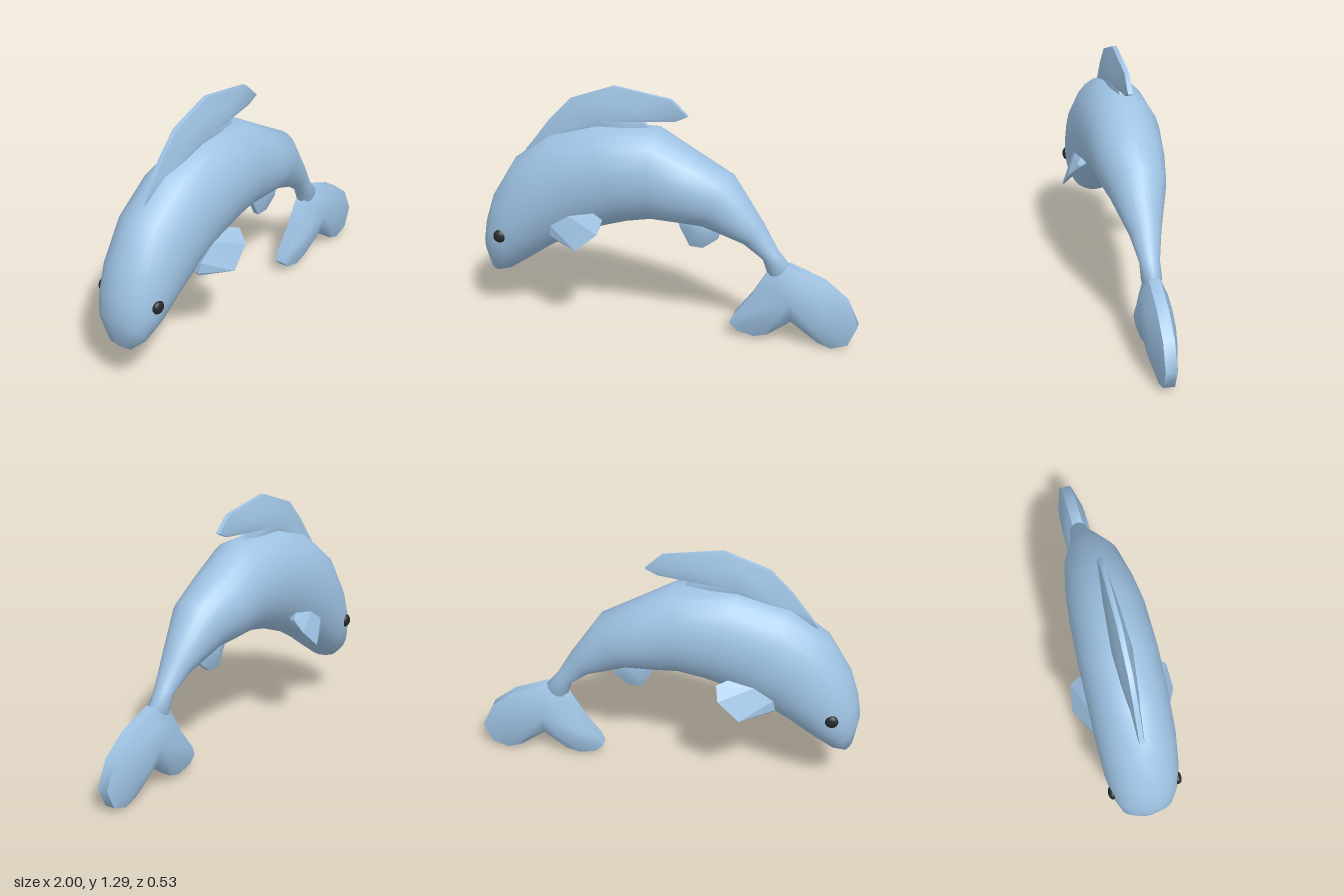
import * as THREE from 'three';
import { toCreasedNormals } from 'three/addons/utils/BufferGeometryUtils.js';
import { ConvexGeometry } from 'three/addons/geometries/ConvexGeometry.js';

const skin = new THREE.MeshStandardMaterial({ color: 0x9fc3e4 });
const dark = new THREE.MeshStandardMaterial({ color: 0x25292b });

// Joins equal-sized closed rings of [x, y, z] points into one surface.
function loft(rings, crease) {
  const n = rings[0].length;
  const index = [];
  for (let i = 0; i < rings.length - 1; i++) {
    for (let j = 0; j < n; j++) {
      const k = (j + 1) % n;
      const a = i * n + j, b = (i + 1) * n + j, c = (i + 1) * n + k, d = i * n + k;
      index.push(a, b, c, a, c, d);
    }
  }
  const geo = new THREE.BufferGeometry();
  geo.setAttribute('position', new THREE.Float32BufferAttribute(rings.flat(2), 3));
  geo.setIndex(index);
  return toCreasedNormals(geo, crease);
}

// Puffy upright fin: thick in the middle, thin flat rim; outline runs counter-clockwise.
function fin(outline, [cx, cy], middle, inner, rim) {
  const ring = (s, z) => outline.map(([x, y]) => [cx + (x - cx) * s, cy + (y - cy) * s, z]);
  return loft([
    ring(0, middle), ring(0.55, inner), ring(1, rim),
    ring(1, -rim), ring(0.55, -inner), ring(0, -middle),
  ], 0.9);
}

// Body cross-sections: back point, belly point, half width.
const sections = [
  [-0.958, 0.25, -0.945, 0.24, 0],
  [-0.978, 0.28, -0.925, 0.225, 0.06],
  [-1.0, 0.43, -0.86, 0.245, 0.13],
  [-0.985, 0.53, -0.75, 0.32, 0.166],
  [-0.94, 0.67, -0.62, 0.41, 0.187],
  [-0.82, 0.87, -0.46, 0.5, 0.198],
  [-0.62, 1.02, -0.32, 0.555, 0.2],
  [-0.36, 1.1, -0.2, 0.592, 0.2],
  [-0.05, 1.1, -0.08, 0.616, 0.192],
  [0.15, 0.985, 0.07, 0.611, 0.175],
  [0.34, 0.88, 0.19, 0.605, 0.145],
  [0.5, 0.64, 0.4, 0.53, 0.078],
  [0.58, 0.5, 0.5, 0.455, 0.05],
  [0.64, 0.43, 0.53, 0.37, 0.05],
  [0.62, 0.33, 0.58, 0.31, 0],
];

function bodyGeometry() {
  const sides = 24;
  const rings = sections.map(([tx, ty, bx, by, w]) => {
    const ring = [];
    for (let j = 0; j < sides; j++) {
      const a = (j / sides) * Math.PI * 2;
      const s = (1 + Math.sin(a)) / 2;
      ring.push([bx + (tx - bx) * s, by + (ty - by) * s, w * Math.cos(a)]);
    }
    return ring;
  });
  return loft(rings, 1.2);
}

export function createModel() {
  const model = new THREE.Group();
  model.name = 'fish';
  const add = (name, geo, material = skin) => {
    const mesh = new THREE.Mesh(geo, material);
    mesh.name = name;
    model.add(mesh);
    return mesh;
  };

  add('body', bodyGeometry());

  add('dorsalFin', fin([
    [-0.76, 0.92], [-0.6, 0.96], [-0.3, 1.0], [-0.05, 1.05], [-0.13, 1.13], [0.04, 1.14],
    [0.105, 1.17], [0.02, 1.25], [-0.28, 1.296], [-0.51, 1.213], [-0.62, 1.1], [-0.7, 0.995],
  ], [-0.35, 1.12], 0.05, 0.033, 0.012));

  add('tailFin', fin([
    [0.53, 0.39], [0.45, 0.25], [0.36, 0.13], [0.34, 0.08], [0.38, 0.04], [0.47, 0.02],
    [0.54, 0.04], [0.66, 0.13], [0.8, 0.03], [0.87, 0.005], [0.955, 0.035], [1.0, 0.14],
    [0.94, 0.27], [0.82, 0.365], [0.64, 0.435],
  ], [0.655, 0.25], 0.075, 0.065, 0.028));

  add('analFin', fin([
    [0.05, 0.63], [0.07, 0.58], [0.12, 0.483], [0.19, 0.48], [0.265, 0.535],
    [0.29, 0.62], [0.18, 0.68],
  ], [0.17, 0.59], 0.045, 0.035, 0.015));

  // Side fins slope outward and down; each has an outer and an inner face.
  const outer = [
    [-0.58, 0.53, 0.18], [-0.57, 0.585, 0.185], [-0.47, 0.65, 0.185], [-0.34, 0.675, 0.175],
    [-0.285, 0.655, 0.2], [-0.3, 0.59, 0.25], [-0.41, 0.495, 0.265], [-0.57, 0.515, 0.175],
  ];
  const inner = [
    [-0.57, 0.53, 0.12], [-0.33, 0.64, 0.14], [-0.29, 0.64, 0.185], [-0.32, 0.575, 0.25],
    [-0.42, 0.495, 0.25],
  ];
  for (const [side, s] of [['left', -1], ['right', 1]]) {
    const points = [...outer, ...inner].map(([x, y, z]) => new THREE.Vector3(x, y, z * s));
    add(side + 'SideFin', new ConvexGeometry(points));

    const eye = add(side + 'Eye', new THREE.SphereGeometry(0.034, 16, 12), dark);
    eye.scale.z = 0.6;
    eye.position.set(-0.862, 0.485, 0.168 * s);
  }
  return model;
}
